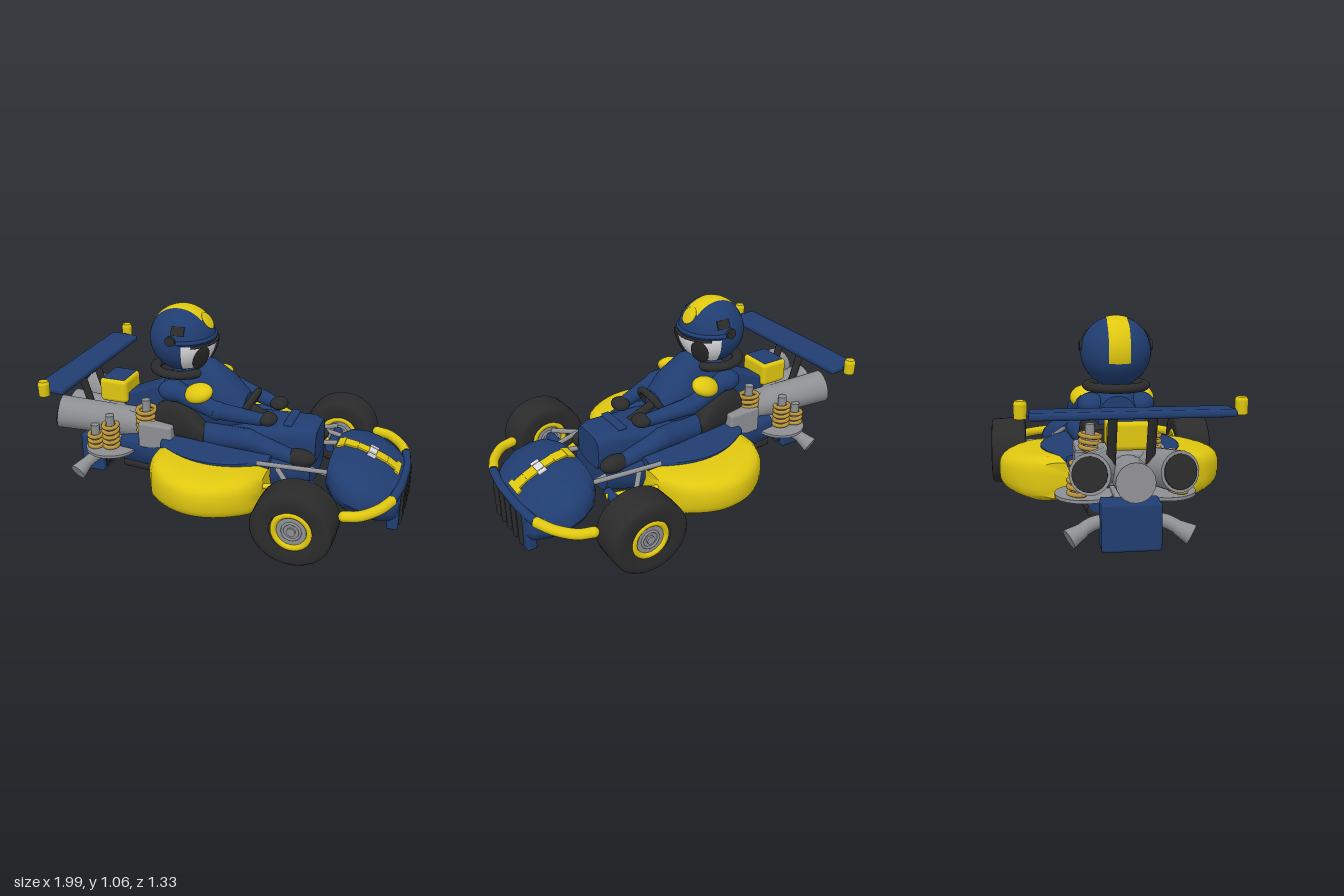
import * as THREE from 'three';
import { toCreasedNormals } from 'three/addons/utils/BufferGeometryUtils.js';
import { RoundedBoxGeometry } from 'three/addons/geometries/RoundedBoxGeometry.js';

const mat = (name, color) => {
  const m = new THREE.MeshStandardMaterial({ color });
  m.name = name;
  return m;
};
const V = (p) => new THREE.Vector3(...p);

// Rounded cross-sections along x: [x, yBottom, yTop, halfWidth, zCentre]; taper narrows the lower half
function loft(stations, power = 3, taper = 0) {
  const pos = [], idx = [], n = 32;
  const f = (t) => Math.sign(t) * Math.abs(t) ** (2 / power);
  for (const [x, y0, y1, hw, zc = 0] of stations) {
    for (let j = 0; j < n; j++) {
      const a = (j / n) * Math.PI * 2, c = f(Math.cos(a)), s = f(Math.sin(a));
      pos.push(x, (y0 + y1) / 2 + s * (y1 - y0) / 2, zc + c * hw * (1 + taper * Math.min(0, s)));
    }
  }
  for (let i = 0; i < stations.length - 1; i++) for (let j = 0; j < n; j++) {
    const k = (j + 1) % n, a = i * n + j, b = a + n, c = i * n + k, d = c + n;
    idx.push(a, b, c, b, d, c);
  }
  const last = (stations.length - 1) * n;
  for (let j = 1; j < n - 1; j++) idx.push(0, j, j + 1, last, last + j + 1, last + j);
  const g = new THREE.BufferGeometry();
  g.setAttribute('position', new THREE.Float32BufferAttribute(pos, 3));
  g.setIndex(idx);
  return toCreasedNormals(g, 0.7);
}

export function createModel() {
  const root = new THREE.Group();
  const blue = mat('blue paint', 0x203d71), yellow = mat('yellow paint', 0xdfc710);
  const black = mat('black rubber', 0x2b2b2b), grey = mat('grey metal', 0x8e8f93);
  const white = mat('white', 0xdedee0), gold = mat('gold spring', 0xb8933a);

  const add = (name, geo, m, p = [0, 0, 0], r = [0, 0, 0], s = [1, 1, 1]) => {
    const mesh = new THREE.Mesh(geo, m);
    mesh.name = name;
    mesh.position.set(...p); mesh.rotation.set(...r); mesh.scale.set(...s);
    root.add(mesh);
    return mesh;
  };
  const box = (name, m, size, p, r, round = 0.015) =>
    add(name, new RoundedBoxGeometry(...size, 2, round), m, p, r);
  const ball = (name, m, s, p, r) => add(name, new THREE.SphereGeometry(1, 28, 18), m, p, r, s);
  const rod = (name, m, a, b, r0, r1 = r0, sides = 16) => {
    const A = V(a), B = V(b), d = B.clone().sub(A);
    const mesh = add(name, new THREE.CylinderGeometry(r1, r0, d.length(), sides), m,
      A.clone().add(B).multiplyScalar(0.5).toArray());
    mesh.quaternion.setFromUnitVectors(new THREE.Vector3(0, 1, 0), d.normalize());
  };
  const tube = (name, m, pts, r) =>
    add(name, new THREE.TubeGeometry(new THREE.CatmullRomCurve3(pts.map(V)), 28, r, 12), m);
  const coil = (x, y, z, turns, r) => {
    rod('springRod', grey, [x, y, z], [x, y + turns * 0.03 + 0.045, z], 0.024);
    for (let i = 0; i < turns; i++)
      add('spring', new THREE.TorusGeometry(r, 0.012, 8, 24), gold, [x, y + 0.015 + i * 0.03, z], [Math.PI / 2 + 0.12, 0, 0]);
  };
  const H = Math.PI / 2;

  // Hull, flared cockpit rim and floor
  add('hull', loft([[-0.6, 0.115, 0.32, 0.2], [-0.36, 0.11, 0.34, 0.23], [0, 0.11, 0.345, 0.25], [0.25, 0.11, 0.34, 0.24],
    [0.33, 0.12, 0.34, 0.22], [0.5, 0.16, 0.33, 0.18]], 5, 0.22), blue);
  const rim = [], pod = [];
  for (let i = 0; i <= 14; i++) {
    const t = i / 7 - 1, end = Math.max(0, Math.abs(t) - 0.85);
    rim.push([-0.015 + 0.31 * t, 0.28, 0.352, 0.385 - 0.125 * t * t]);
    const outer = 0.61 - 0.165 * t * t - 0.25 * end, lift = 0.01 * (1 + t);
    pod.push([-0.015 + 0.31 * t, 0.1 + 0.15 * end, 0.342 - lift - 0.2 * end, (outer - 0.16) / 2, (outer + 0.16) / 2]);
  }
  add('cockpitRim', loft(rim, 9), blue);
  add('floor', loft([[-0.595, 0.098, 0.17, 0.18], [-0.36, 0.095, 0.17, 0.2], [-0.1, 0.095, 0.16, 0.19], [0.1, 0.098, 0.15, 0.16]], 3.5), black);
  // Single curved skin under the front
  const skin = new THREE.PlaneGeometry(1, 1, 16, 4).rotateX(H);
  const sp = skin.attributes.position;
  for (let i = 0; i < sp.count; i++) {
    const t = sp.getX(i) + 0.5;
    sp.setXYZ(i, 0.3 + t * 0.65, 0.008 + 0.1 * (1 - t) ** 4, sp.getZ(i) * 2 * (0.22 - 0.1 * t ** 3));
  }
  skin.computeVertexNormals();
  add('underSkin', skin, blue);

  // Cockpit cowl
  add('cowl', loft([[0.02, 0.3, 0.44, 0.19], [0.15, 0.3, 0.46, 0.16], [0.34, 0.28, 0.48, 0.14], [0.46, 0.26, 0.49, 0.13], [0.51, 0.28, 0.47, 0.115]], 4), blue);
  box('cowlPanel', blue, [0.05, 0.02, 0.2], [0.35, 0.485, 0]);
  box('spine', blue, [0.26, 0.16, 0.14], [-0.5, 0.48, 0], [0, 0, 0.4]);

  // Nose, stripes and grille
  add('nose', loft([[0.6, 0.14, 0.37, 0.24], [0.65, 0.09, 0.385, 0.31], [0.72, 0.055, 0.375, 0.345], [0.8, 0.035, 0.35, 0.352],
    [0.88, 0.025, 0.315, 0.32], [0.95, 0.02, 0.27, 0.26], [0.98, 0.03, 0.25, 0.22]], 2.8, 0.3), blue);
  const stripe = [[0.61, 0.376, 0.1], [0.65, 0.389, 0.07], [0.72, 0.379, 0.06], [0.8, 0.354, 0.07], [0.88, 0.319, 0.07], [0.925, 0.29, 0.12], [0.95, 0.274]];
  stripe.slice(1).forEach(([x, y], i) => {
    const [x0, y0, w] = stripe[i], dx = x - x0, dy = y - y0;
    add('noseStripe', new THREE.BoxGeometry(Math.hypot(dx, dy), 0.009, w), yellow, [(x + x0) / 2, (y + y0) / 2, 0], [0, 0, Math.atan2(dy, dx)]);
  });
  box('noseClip', white, [0.045, 0.02, 0.055], [0.8, 0.354, 0], [0, 0, -0.35], 0.005);
  for (const e of [1, -1]) box('noseClipEnd', white, [0.05, 0.02, 0.02], [0.8, 0.353, e * 0.045], [0, 0, -0.35], 0.005);
  box('grilleFrame', blue, [0.06, 0.22, 0.42], [0.955, 0.13, 0]);
  for (let i = -2; i <= 2; i++) box('grilleSlat', black, [0.03, 0.2, 0.044], [0.983, 0.137, i * 0.075], [0, 0, 0], 0.014);
  box('chinPlate', yellow, [0.03, 0.009, 0.17], [0.955, 0.017, 0], [0, 0, 0], 0.004);
  tube('bumperCentre', blue, [[0.95, 0.235, 0.27], [0.97, 0.24, 0.13], [0.973, 0.24, 0], [0.97, 0.24, -0.13], [0.95, 0.235, -0.27]], 0.024);

  for (const s of [1, -1]) {
    // Bumper ends and side pods
    tube('bumperEnd', yellow, [[0.75, 0.235, s * 0.495], [0.82, 0.235, s * 0.47], [0.9, 0.235, s * 0.38], [0.95, 0.235, s * 0.27]], 0.028);
    ball('bumperTip', yellow, [0.028, 0.028, 0.028], [0.75, 0.235, s * 0.495]);
    add('sidePod', loft(pod.map(([x, a, b, hw, zc]) => [x, a, b, hw, s * zc]), 3.2), yellow);

    // Front wheel
    const prof = [[0.1, -0.095], [0.15, -0.104], [0.183, -0.1], [0.194, -0.088], [0.197, 0], [0.194, 0.088], [0.183, 0.1], [0.15, 0.104], [0.1, 0.095]];
    const z = s * 0.56;
    add('tyre', new THREE.LatheGeometry(prof.map(([a, b]) => new THREE.Vector2(a, b)), 40), black, [0.521, 0.197, z], [H, 0, 0], [1.07, 1, 1]);
    add('rim', new THREE.CylinderGeometry(0.108, 0.108, 0.16, 32), black, [0.527, 0.197, z], [H, 0, 0]);
    for (const e of [1, -1]) {
      add('rimRing', new THREE.TorusGeometry(0.091, 0.016, 10, 36), yellow, [0.527, 0.197, z + e * 0.087]);
      add('hubDisc', new THREE.CylinderGeometry(0.075, 0.075, 0.012, 32), grey, [0.527, 0.197, z + e * 0.083], [H, 0, 0]);
      add('hubRing', new THREE.TorusGeometry(0.045, 0.007, 8, 28), grey, [0.527, 0.197, z + e * 0.09]);
      add('hubCap', new THREE.CylinderGeometry(0.022, 0.022, 0.03, 20), grey, [0.527, 0.197, z + e * 0.085], [H, 0, 0]);
    }

    // Axle and suspension arms
    rod('axle', blue, [0.52, 0.22, s * 0.22], [0.52, 0.21, s * 0.47], 0.026);
    rod('upperArm', grey, [0.34, 0.29, s * 0.24], [0.51, 0.25, s * 0.46], 0.014);
    rod('noseArm', grey, [0.24, 0.34, s * 0.3], [0.68, 0.3, s * 0.2], 0.013);
    rod('podLink', yellow, [0.26, 0.24, s * 0.36], [0.55, 0.22, s * 0.25], 0.015);
    rod('noseMount', grey, [0.45, 0.28, s * 0.15], [0.64, 0.28, s * 0.2], 0.014);

    // Springs, plates, exhausts and engine sides
    add('springPlate', new THREE.CylinderGeometry(0.145, 0.145, 0.016, 36), grey, [-0.655, 0.24, s * 0.195]);
    coil(-0.645, 0.25, s * 0.22, 5, 0.04);
    coil(-0.73, 0.25, s * 0.24, 3, 0.038);
    coil(-0.45, 0.345, s * 0.15, 5, 0.05);
    rod('exhaust', grey, [-0.5, 0.35, s * 0.07], [-0.965, 0.415, s * 0.2], 0.085, 0.094, 20);
    rod('exhaustEnd', black, [-0.96, 0.414, s * 0.199], [-0.971, 0.416, s * 0.202], 0.08, 0.08, 20);
    box('engineSide', grey, [0.2, 0.15, 0.08], [-0.375, 0.35, s * 0.185]);
    tube('lowerPipe', grey, [[-0.77, 0.14, s * 0.1], [-0.79, 0.135, s * 0.17], [-0.82, 0.11, s * 0.23]], 0.034);
    rod('lowerPipeFlare', grey, [-0.815, 0.115, s * 0.215], [-0.84, 0.08, s * 0.285], 0.034, 0.05);

    // Wing supports and lamps
    rod('wingStrut', black, [-0.82, 0.42, s * 0.09], [-0.89, 0.65, s * 0.09], 0.022);
    rod('wingLamp', yellow, [-0.87, 0.65, s * 0.495], [-0.87, 0.715, s * 0.495], 0.029, 0.031, 20);
    rod('wingLampCap', yellow, [-0.87, 0.715, s * 0.495], [-0.87, 0.73, s * 0.495], 0.031, 0.024, 20);
    rod('lampLink', blue, [-0.87, 0.665, s * 0.44], [-0.87, 0.665, s * 0.49], 0.013);

    // Driver limbs
    rod('upperSleeve', blue, [-0.3, 0.62, s * 0.13], [-0.02, 0.55, s * 0.185], 0.055, 0.048);
    ball('shoulder', blue, [0.085, 0.06, 0.07], [-0.29, 0.61, s * 0.13]);
    ball('shoulderPad', yellow, [0.085, 0.045, 0.065], [-0.13, 0.63, s * 0.165], [s * 0.5, 0, 0.25]);
    ball('elbow', blue, [0.055, 0.052, 0.052], [-0.02, 0.55, s * 0.18]);
    rod('forearm', blue, [-0.02, 0.55, s * 0.18], [0.22, 0.505, s * 0.12], 0.048, 0.035);
    ball('glove', black, [0.05, 0.035, 0.06], [0.245, 0.51, s * 0.11]);
    rod('thigh', blue, [-0.15, 0.36, s * 0.1], [0.15, 0.4, s * 0.17], 0.07, 0.06);
    ball('knee', blue, [0.065, 0.06, 0.06], [0.15, 0.4, s * 0.17]);
    rod('shin', blue, [0.15, 0.4, s * 0.17], [0.4, 0.33, s * 0.16], 0.058, 0.04);
    ball('boot', black, [0.085, 0.048, 0.048], [0.44, 0.335, s * 0.16]);

    // Face and helmet sides
    const dir = new THREE.Vector3(0.74, -0.4, s * 0.52).normalize();
    const eye = ball('eye', black, [0.05, 0.08, 0.012], [-0.275 + dir.x * 0.182, 0.88 + dir.y * 0.182, dir.z * 0.182]);
    eye.lookAt(eye.position.clone().add(dir));
    add('earDisc', new THREE.CylinderGeometry(0.028, 0.028, 0.014, 20), black, [-0.28, 0.91, s * 0.181], [H, 0, 0]);
    add('sideTab', new THREE.BoxGeometry(0.07, 0.05, 0.009), black, [-0.245, 0.963, s * 0.157], [-s * 0.48, s * 0.15, 0]);
  }

  // Rear wing, middle exhaust, engine box and radiator
  box('rearWing', blue, [0.17, 0.036, 0.92], [-0.865, 0.663, 0], [0, 0, -0.05]);
  rod('middleExhaust', grey, [-0.55, 0.34, 0], [-0.985, 0.375, 0], 0.085, 0.09, 20);
  box('engineBlock', grey, [0.26, 0.16, 0.24], [-0.6, 0.37, 0]);
  box('airBox', yellow, [0.17, 0.14, 0.2], [-0.68, 0.535, 0], [0, 0, 0], 0.025);
  box('airBoxLid', blue, [0.135, 0.02, 0.165], [-0.68, 0.6, 0], [0, 0, 0], 0.008);
  box('radiator', blue, [0.14, 0.23, 0.28], [-0.82, 0.137, 0]);
  for (let i = -2; i <= 2; i++) add('radiatorSlat', new THREE.BoxGeometry(0.009, 0.18, 0.03), black, [-0.748, 0.137, i * 0.047]);
  box('tailMount', grey, [0.2, 0.06, 0.14], [-0.68, 0.24, 0]);

  // Seat, torso and steering wheel
  add('seat', loft([[-0.4, 0.33, 0.5, 0.16], [-0.3, 0.32, 0.57, 0.18], [-0.22, 0.32, 0.56, 0.185], [-0.1, 0.32, 0.42, 0.185]], 4), black);
  add('torso', loft([[-0.37, 0.4, 0.66, 0.1], [-0.28, 0.35, 0.71, 0.14], [-0.16, 0.35, 0.77, 0.12], [-0.11, 0.35, 0.77, 0.12],
    [0, 0.36, 0.69, 0.14], [0.1, 0.4, 0.59, 0.1]], 2.3), blue);
  add('steeringWheel', new THREE.TorusGeometry(0.1, 0.02, 12, 36).rotateY(H).rotateZ(-0.5), black, [0.1, 0.515, 0]);
  rod('steeringColumn', black, [0.1, 0.52, 0], [0.26, 0.45, 0], 0.025);

  // Helmet
  const c = [-0.278, 0.88, 0];
  add('neckRing', new THREE.TorusGeometry(0.145, 0.03, 12, 40), black, [-0.29, 0.707, 0], [H, 0, 0], [1, 1, 0.8]);
  add('helmet', new THREE.SphereGeometry(0.181, 40, 28), blue, c);
  add('face', new THREE.SphereGeometry(0.1845, 32, 12, Math.PI - 1.27, 2.54, 1.56, 0.95), white, c);
  add('helmetStripe', new THREE.SphereGeometry(0.184, 40, 6, Math.PI + 0.75, 2.65, H - 0.3, 0.6).rotateX(H), yellow, c);
  ball('stripeBadge', yellow, [0.009, 0.05, 0.05], [-0.133, 0.987, 0], [0, 0, 0.64]);
  add('helmetBrim', new THREE.TorusGeometry(0.178, 0.012, 10, 32, 2.8).rotateX(H).rotateY(1.4), blue, [-0.278, 0.9, 0]);
  add('visorEdge', new THREE.TorusGeometry(0.186, 0.008, 8, 32, 2).rotateX(H).rotateY(1), black, [-0.275, 0.877, 0]);

  return root;
}
